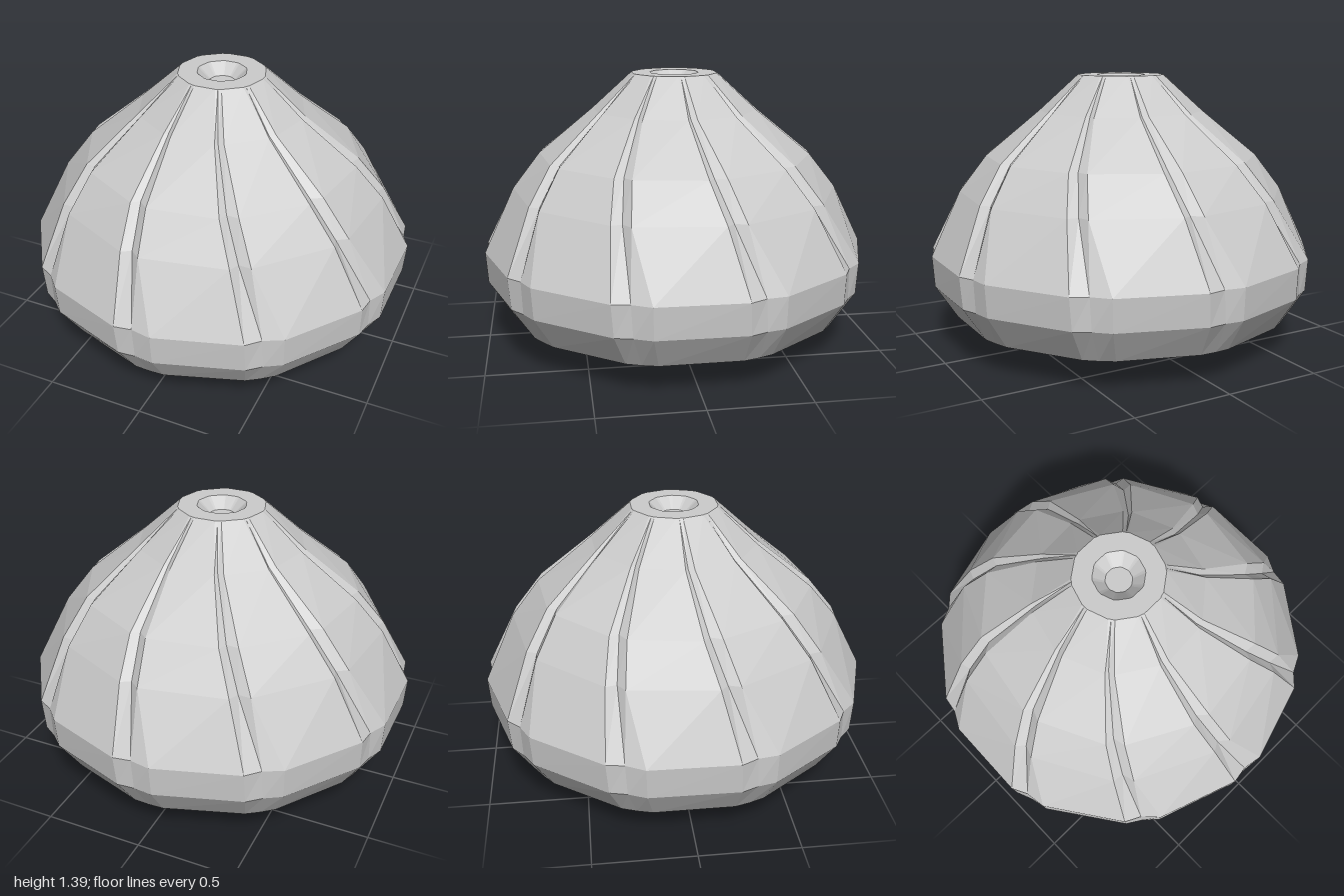
import * as THREE from 'three';

const LOBES = 10;
const material = new THREE.MeshStandardMaterial({ color: 0xcccccc, flatShading: true, side: THREE.DoubleSide });

// Skin a stack of rings. Each row: [y, radius, groove start, groove floor, groove end (degrees), groove depth]
function ringSkin(name, rows) {
  const positions = [], index = [], n = LOBES * 3;
  for (const [y, r, a, b, c, depth] of rows) {
    for (let i = 0; i < LOBES; i++) {
      [[a, r], [b, r - depth], [c, r]].forEach(([deg, radius]) => {
        const t = THREE.MathUtils.degToRad(deg + i * 360 / LOBES);
        positions.push(radius * Math.sin(t), y, radius * Math.cos(t));
      });
    }
  }
  for (let j = 0; j < rows.length - 1; j++) {
    for (let i = 0; i < n; i++) {
      const k = (i + 1) % n, lo = j * n, hi = lo + n;
      index.push(lo + i, lo + k, hi + k, lo + i, hi + k, hi + i);
    }
  }
  const geometry = new THREE.BufferGeometry();
  geometry.setAttribute('position', new THREE.Float32BufferAttribute(positions, 3));
  geometry.setIndex(index);
  geometry.computeVertexNormals();
  const mesh = new THREE.Mesh(geometry, material);
  mesh.name = name;
  return mesh;
}

export function createModel() {
  const group = new THREE.Group();
  group.name = 'swirledDome';

  // Shallow underside, open in the middle
  group.add(ringSkin('underside', [
    [0, 0.21, -5, 0, 5, 0],
    [0.07, 0.57, -5, 0, 5, 0],
    [0.16, 0.88, -5, 0, 5, 0],
  ]));

  // Lobed body with grooves that twist towards the top
  const rim = [1.395, 0.222, -21, -17.5, -13, 0.002];
  group.add(ringSkin('lobedBody', [
    [0.16, 0.88, -5, 0, 5, 0],
    [0.33, 0.99, -6, -1, 4.5, 0.012],
    [0.49, 1.0, -6.5, -1.5, 4.4, 0.02],
    [0.8, 0.845, -10, -7, -3.3, 0.035],
    [0.98, 0.705, -13.3, -10.5, -6, 0.035],
    [1.21, 0.425, -17, -15, -11, 0.02],
    rim,
  ]));

  // Flat top ring with a small dish
  group.add(ringSkin('topDish', [
    rim,
    [1.395, 0.125, -21, -17, -13, 0],
    [1.34, 0.065, -21, -17, -13, 0],
    [1.34, 0, 0, 0, 0, 0],
  ]));
  return group;
}
